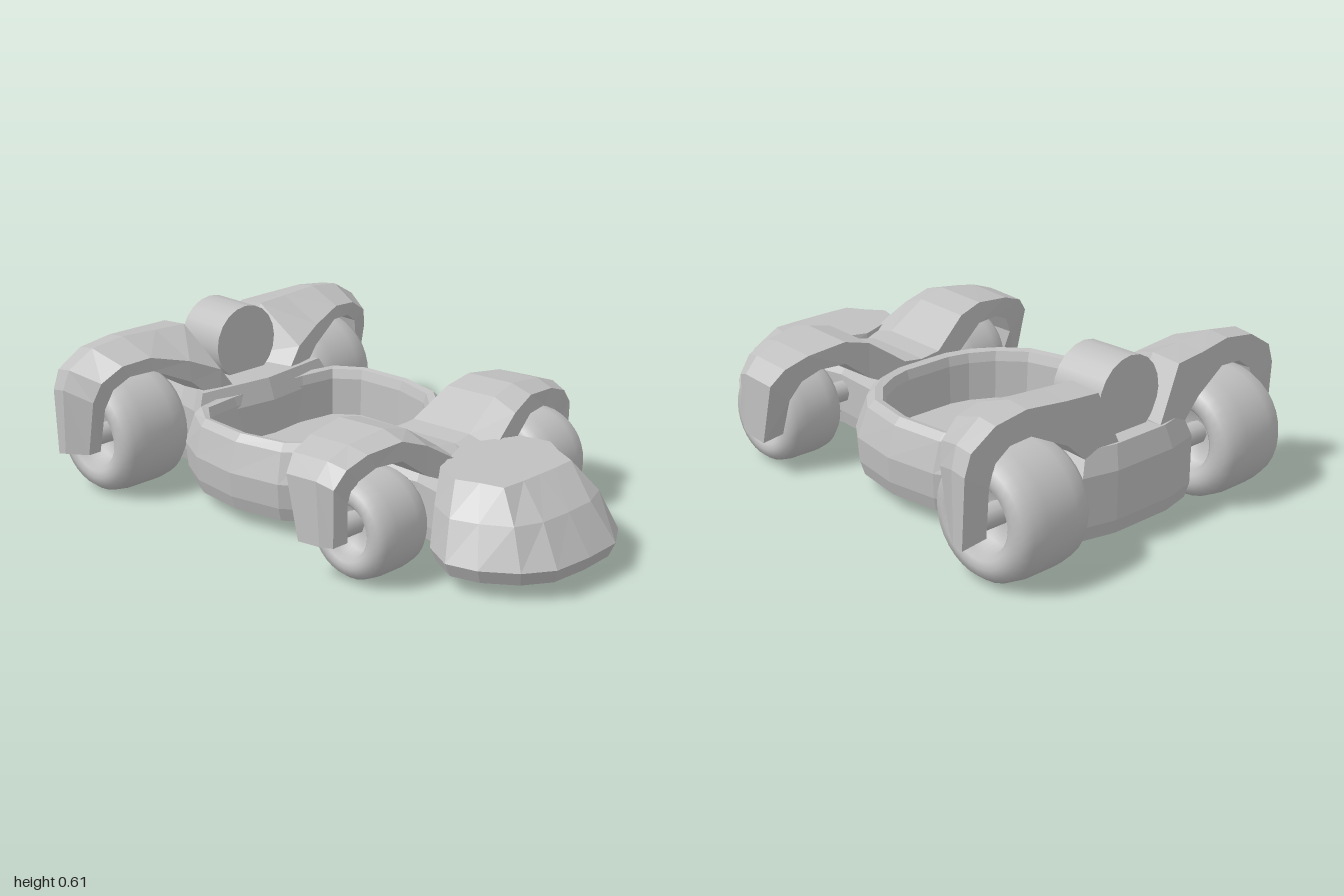
import * as THREE from 'three';

// Closed solid from a list of rings (arrays of [x, y, z]) with fan caps, always facing outward
function loft(rings) {
  const n = rings[0].length, pos = [];
  const tri = (a, b, c) => pos.push(...a, ...b, ...c);
  const centre = r => [0, 1, 2].map(k => r.reduce((s, p) => s + p[k], 0) / n);
  const first = rings[0], last = rings[rings.length - 1];
  const c0 = centre(first), c1 = centre(last);
  for (let j = 0; j < n; j++) {
    const k = (j + 1) % n;
    for (let i = 0; i < rings.length - 1; i++) {
      const a = rings[i], b = rings[i + 1];
      tri(a[j], a[k], b[k]);
      tri(a[j], b[k], b[j]);
    }
    tri(c0, first[k], first[j]);
    tri(c1, last[j], last[k]);
  }
  let volume = 0;
  const v = [0, 1, 2].map(() => new THREE.Vector3());
  for (let i = 0; i < pos.length; i += 9) {
    v.forEach((p, k) => p.fromArray(pos, i + k * 3));
    volume += v[0].dot(v[1].clone().cross(v[2]));
  }
  if (volume < 0) {
    for (let i = 0; i < pos.length; i += 9) {
      for (let k = 3; k < 6; k++) [pos[i + k], pos[i + k + 3]] = [pos[i + k + 3], pos[i + k]];
    }
  }
  const g = new THREE.BufferGeometry();
  g.setAttribute('position', new THREE.Float32BufferAttribute(pos, 3));
  g.computeVertexNormals(); // unshared corners give flat facets
  return g;
}

// Full plan outline from a half outline that starts and ends on the centre line
const mirrored = half => [...half, ...half.slice(1, -1).reverse().map(([x, z]) => [-x, z])];
const mix = (a, b, t) => a.map((p, i) => p.map((q, k) => q + (b[i][k] - q) * t));
const atHeight = (plan, y) => plan.map(([x, z]) => [x, y, z]);
const scaled = (plan, s, cz) => plan.map(([x, z]) => [x * s, cz + (z - cz) * s]);

export function createModel() {
  const model = new THREE.Group();
  const grey = new THREE.MeshStandardMaterial({ color: 0xc0c0c0 });
  grey.name = 'plain grey';
  const add = (name, geometry) => {
    const m = new THREE.Mesh(geometry, grey);
    m.name = name;
    model.add(m);
    return m;
  };

  // Cockpit tub: bulging outer wall, thin rim, sunken floor
  const outer = mirrored([[0, 0.22], [0.14, 0.215], [0.28, 0.165], [0.37, 0.08], [0.43, 0],
    [0.47, -0.2], [0.45, -0.4], [0.38, -0.54], [0.25, -0.6], [0, -0.6]]);
  const inner = mirrored([[0, 0.12], [0.1, 0.12], [0.18, 0.1], [0.27, 0.05], [0.35, -0.04],
    [0.39, -0.2], [0.38, -0.4], [0.31, -0.49], [0.17, -0.51], [0, -0.515]]);
  add('cockpitTub', loft([
    atHeight(scaled(outer, 0.95, -0.2), 0.06),
    atHeight(scaled(outer, 0.985, -0.2), 0.11),
    atHeight(outer, 0.2),
    atHeight(mix(outer, inner, 0.4), 0.305),
    atHeight(mix(outer, inner, 0.7), 0.33),
    atHeight(inner, 0.325),
    atHeight(scaled(inner, 0.97, -0.2), 0.29),
    atHeight(scaled(inner, 0.95, -0.2), 0.15),
  ]));

  // Nose: wide rounded wedge with a flat top
  const noseBase = mirrored([[0, 0.995], [0.15, 0.985], [0.25, 0.92], [0.33, 0.81],
    [0.36, 0.7], [0.3, 0.58], [0.24, 0.53], [0, 0.45]]);
  const noseTop = mirrored([[0, 0.78], [0.08, 0.78], [0.17, 0.775], [0.2, 0.7],
    [0.24, 0.63], [0.2, 0.53], [0.17, 0.52], [0, 0.45]]);
  add('nose', loft([
    atHeight(scaled(noseBase, 0.93, 0.7), 0.06),
    atHeight(noseBase, 0.11),
    atHeight(mix(noseBase, noseTop, 0.42), 0.24),
    noseTop.map(([x, z]) => [x, 0.335 + (0.78 - z) * 0.06, z]),
  ]));

  // Neck joining the nose to the tub
  const neck = mirrored([[0, 0.55], [0.2, 0.55], [0.17, 0.4], [0.2, 0.15], [0, 0.12]]);
  add('neck', loft([
    atHeight(scaled(neck, 0.95, 0.35), 0.06),
    atHeight(neck, 0.11),
    atHeight(neck, 0.25),
    atHeight(scaled(neck, 0.7, 0.35), 0.33),
  ]));

  // Rear block between the back wheels
  const rear = mirrored([[0, -0.48], [0.33, -0.52], [0.29, -0.6], [0.27, -0.7],
    [0.29, -0.82], [0.26, -0.88], [0.13, -0.91], [0, -0.91]]);
  add('rearBlock', loft([
    atHeight(scaled(rear, 0.95, -0.7), 0.06),
    atHeight(rear, 0.11),
    atHeight(rear, 0.28),
    atHeight(scaled(rear, 0.88, -0.72), 0.36),
  ]));

  // Engine drum
  const drum = new THREE.CylinderGeometry(0.14, 0.14, 0.2, 20);
  drum.rotateX(Math.PI / 2);
  add('engineDrum', drum).position.set(0, 0.47, -0.73);

  // Arched arm: sections are [outer x, outer y, inner x, inner y, front z, back z]
  const arm = (sections, side, ridge, drop) => loft(sections.map(([xo, yo, xi, yi, zf, zb]) => [
    [xo * side, yo - 0.01, zb],
    [xo * side, yo, zb + (zf - zb) * ridge],
    [(xo + (xi - xo) * drop) * side, yo + (yi - yo) * drop, zf],
    [xi * side, yi, zf],
    [xi * side, yi, zb],
  ]));
  const frontSections = [
    [0, 0.345, 0, 0.2, 0.53, 0.15], [0.08, 0.355, 0.08, 0.25, 0.52, 0.15],
    [0.22, 0.45, 0.22, 0.31, 0.49, 0.18], [0.32, 0.475, 0.32, 0.385, 0.475, 0.19],
    [0.47, 0.457, 0.42, 0.385, 0.455, 0.205], [0.56, 0.425, 0.49, 0.355, 0.445, 0.22],
    [0.61, 0.37, 0.53, 0.29, 0.435, 0.24], [0.61, 0.15, 0.525, 0.15, 0.43, 0.29],
  ];
  const rearSections = [
    [0.1, 0.37, 0.1, 0.22, -0.54, -0.88], [0.19, 0.555, 0.2, 0.3, -0.55, -0.87],
    [0.32, 0.56, 0.31, 0.4, -0.58, -0.86], [0.47, 0.568, 0.45, 0.465, -0.62, -0.84],
    [0.6, 0.55, 0.54, 0.46, -0.64, -0.84], [0.7, 0.49, 0.6, 0.42, -0.66, -0.84],
    [0.725, 0.42, 0.625, 0.35, -0.68, -0.84], [0.725, 0.18, 0.625, 0.18, -0.72, -0.83],
  ];

  // Smooth fat wheel with recessed hubs, turning about x
  const wheel = (r, h) => {
    const half = [[0, 0.35], [0.5, 0.35], [0.51, 0.85], [0.6, 0.97], [0.72, 1],
      [0.86, 0.94], [0.96, 0.75], [1, 0.4]];
    const profile = [...half.map(([a, b]) => [a, -b]), ...half.slice().reverse()]
      .map(([a, b]) => new THREE.Vector2(a * r, b * h));
    return new THREE.LatheGeometry(profile, 32).rotateZ(Math.PI / 2);
  };

  for (const side of [1, -1]) {
    const label = side > 0 ? 'left' : 'right';
    add(label + 'FrontArm', arm(frontSections, side, 0.7, 0.25));
    add(label + 'RearArm', arm(rearSections, side, 0.35, 0.5));
    add(label + 'FrontWheel', wheel(0.175, 0.12)).position.set(0.405 * side, 0.182, 0.41);
    add(label + 'RearWheel', wheel(0.217, 0.152)).position.set(0.468 * side, 0.219, -0.782);
    // Axles from the body through the wheels to the arm ends
    for (const [name, from, to, y, z] of [
      ['FrontAxle', 0.1, 0.54, 0.19, 0.39], ['RearAxle', 0.2, 0.64, 0.22, -0.78]]) {
      const axle = new THREE.CylinderGeometry(0.04, 0.04, to - from, 8).rotateZ(Math.PI / 2);
      add(label + name, axle).position.set(side * (from + to) / 2, y, z);
    }
  }
  return model;
}
